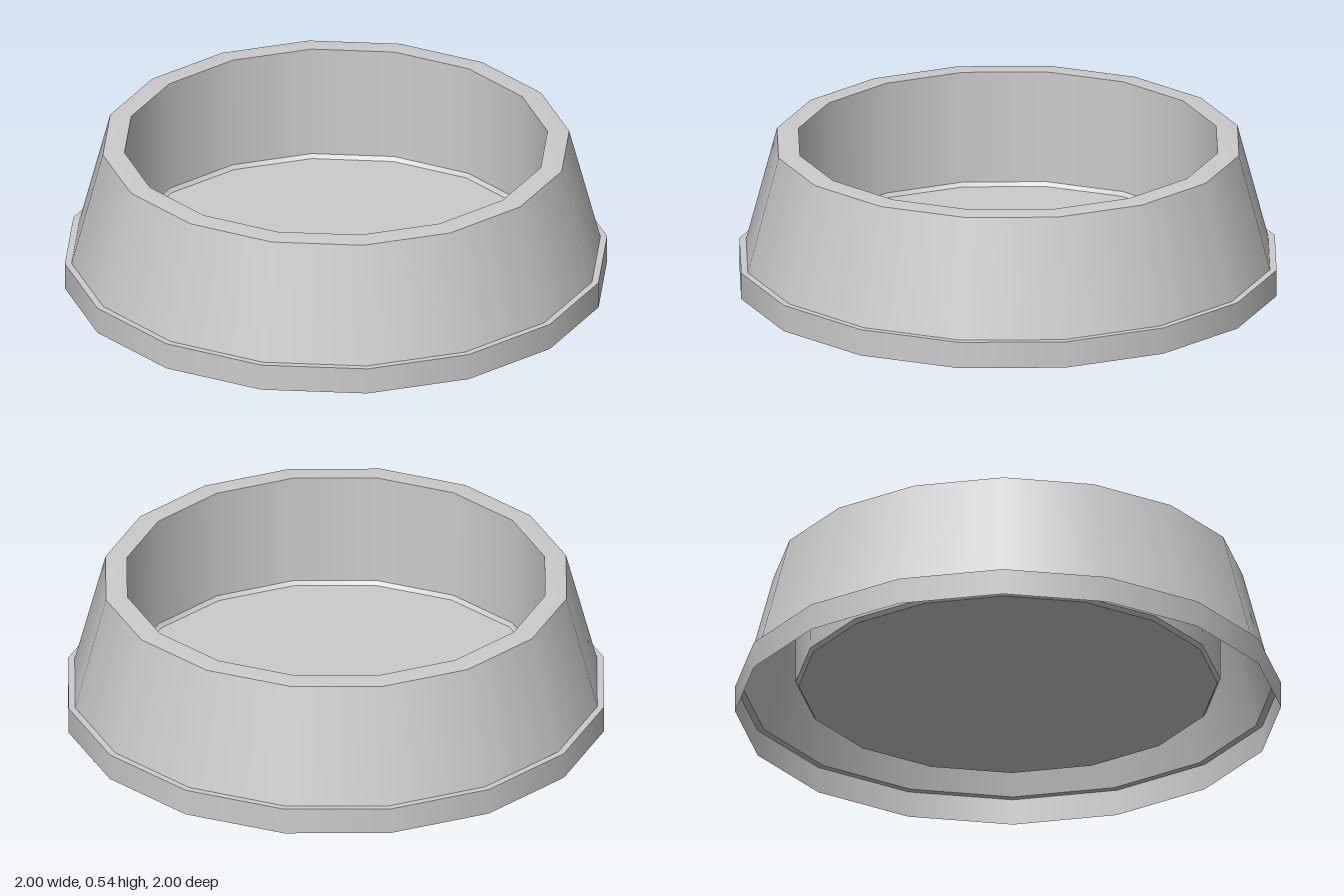
import * as THREE from 'three';

const SIDES = 16;

export function createModel() {
  const model = new THREE.Group();
  model.name = 'bowl';
  const material = new THREE.MeshStandardMaterial({ color: 0xcccccc, side: THREE.DoubleSide });

  // each band is its own lathe: smooth around, sharp between bands
  const band = (name, ...profile) => {
    const points = profile.map(([r, y]) => new THREE.Vector2(r, y));
    const mesh = new THREE.Mesh(new THREE.LatheGeometry(points, SIDES), material);
    mesh.name = name;
    model.add(mesh);
  };

  // thin outer shell, open underneath
  band('footBand', [1, 0], [1, 0.1]);
  band('footLedge', [1, 0.1], [0.975, 0.1]);
  band('outerWall', [0.975, 0.1], [0.86, 0.536]);

  // slightly crowned rim
  band('rim', [0.86, 0.536], [0.82, 0.54], [0.78, 0.54]);

  // dish inside
  band('innerWall', [0.78, 0.54], [0.778, 0.115]);
  band('floorChamfer', [0.778, 0.115], [0.767, 0.1]);
  band('floor', [0.767, 0.1], [0, 0.1]);

  return model;
}
